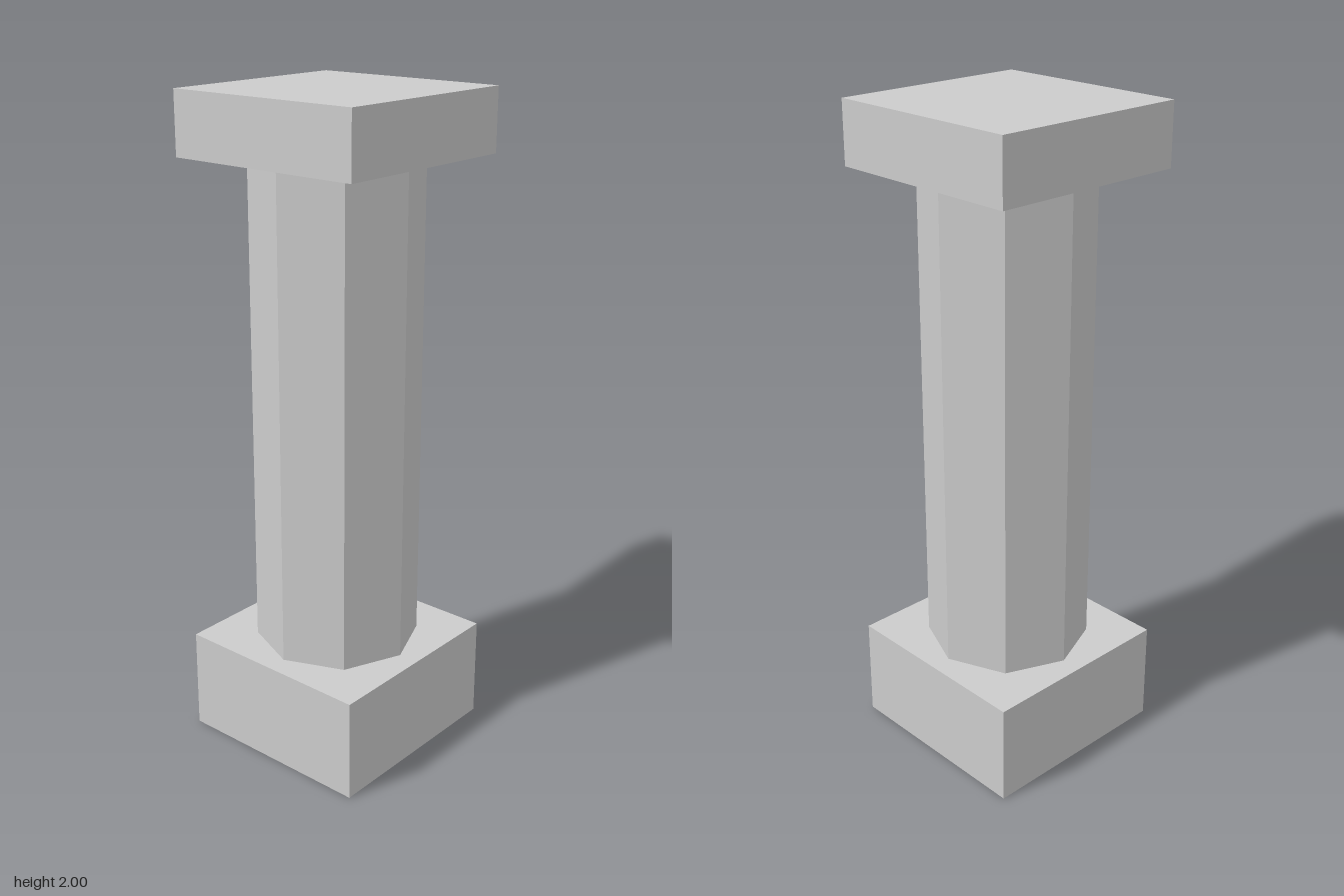
import * as THREE from 'three';

export function createModel() {
  const group = new THREE.Group();
  group.name = 'column';
  const material = new THREE.MeshStandardMaterial({ color: 0xcccccc, flatShading: true });

  const width = 0.634;      // square base and capital
  const baseTop = 0.317;
  const capitalBottom = 1.813;
  const height = 2;

  // Adds a part spanning from y0 to y1
  const add = (name, makeGeometry, y0, y1) => {
    const mesh = new THREE.Mesh(makeGeometry(y1 - y0), material);
    mesh.name = name;
    mesh.position.y = (y0 + y1) / 2;
    group.add(mesh);
  };
  const block = (h) => new THREE.BoxGeometry(width, h, width);
  // Octagonal shaft with a corner facing the front
  const octagon = (h) => new THREE.CylinderGeometry(0.253, 0.253, h, 8);

  add('base', block, 0, baseTop);
  add('shaft', octagon, baseTop, capitalBottom);
  add('capital', block, capitalBottom, height);

  return group;
}
